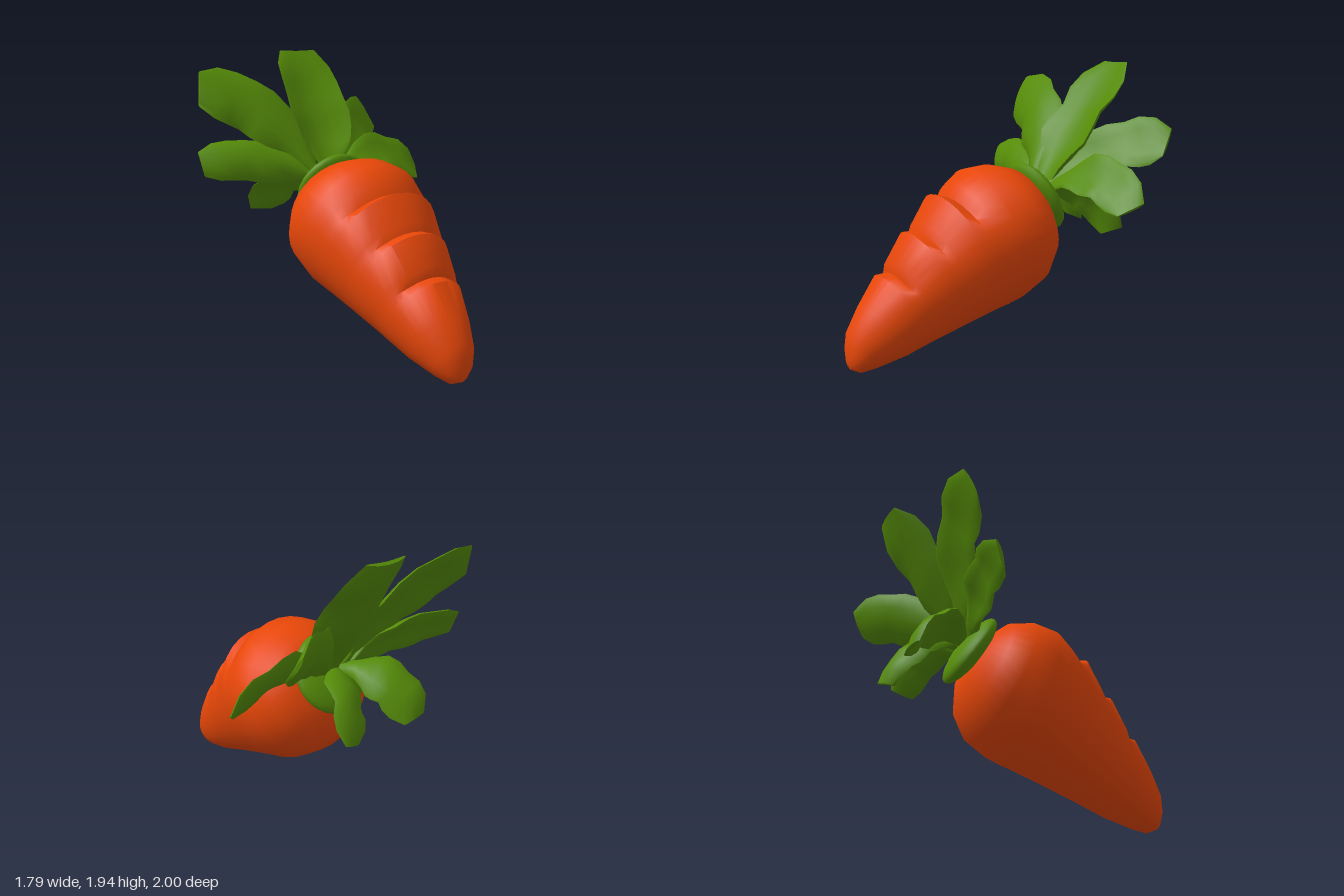
import * as THREE from 'three';
import { toCreasedNormals } from 'three/addons/utils/BufferGeometryUtils.js';

const V = (x, y, z) => new THREE.Vector3(x, y, z);

// Skin a list of closed rings (counterclockwise about the travel direction) and cap both ends.
function loft(rings, crease) {
  const n = rings[0].length, pos = [], idx = [];
  rings.forEach(r => r.forEach(p => pos.push(p.x, p.y, p.z)));
  for (let j = 0; j < rings.length - 1; j++) {
    for (let i = 0; i < n; i++) {
      const a = j * n + i, b = j * n + (i + 1) % n;
      idx.push(a, b, b + n, a, b + n, a + n);
    }
  }
  [0, rings.length - 1].forEach((j, end) => {
    const c = V(0, 0, 0);
    rings[j].forEach(p => c.addScaledVector(p, 1 / n));
    const k = pos.length / 3;
    pos.push(c.x, c.y, c.z);
    for (let i = 0; i < n; i++) {
      const a = j * n + i, b = j * n + (i + 1) % n;
      end ? idx.push(k, a, b) : idx.push(k, b, a);
    }
  });
  const g = new THREE.BufferGeometry();
  g.setAttribute('position', new THREE.Float32BufferAttribute(pos, 3));
  g.setIndex(idx);
  return toCreasedNormals(g, crease);
}

// Root stations from tip to crown: top z, top y, bottom z, bottom y, half width, notch depth
const STATIONS = [
  [1.0, .10, .98, .03, .04, 0],
  [1.0, .18, .92, .003, .10, 0],
  [.985, .27, .82, .02, .15, 0],
  [.9, .42, .62, .075, .22, 0],
  [.77, .61, .44, .145, .28, 0],
  [.725, .67, .41, .155, .29, .06],
  [.70, .705, .38, .165, .30, .02],
  [.57, .87, .20, .23, .355, 0],
  [.525, .915, .17, .24, .365, .05],
  [.49, .95, .14, .25, .375, .02],
  [.37, 1.10, -.02, .305, .425, 0],
  [.315, 1.15, -.05, .315, .435, .08],
  [.25, 1.19, -.09, .325, .445, .03],
  [.13, 1.25, -.18, .36, .475, 0],
  [-.04, 1.27, -.33, .46, .475, 0],
  [-.19, 1.24, -.42, .6, .385, 0],
  [-.27, 1.17, -.45, .8, .25, 0],
];

function rootGeometry() {
  const n = 32;
  const rings = STATIONS.map(([tz, ty, bz, by, w, dip]) => {
    const top = V(0, ty, tz), bottom = V(0, by, bz);
    const mid = top.clone().lerp(bottom, .5), down = bottom.clone().sub(mid);
    const unit = down.clone().normalize();
    return Array.from({ length: n }, (_, i) => {
      const a = i / n * Math.PI * 2;
      const notch = dip * THREE.MathUtils.smoothstep(-Math.sin(a), .35, .85);
      return mid.clone().add(V(w * Math.cos(a), 0, 0))
        .addScaledVector(down, Math.sin(a)).addScaledVector(unit, notch);
    });
  });
  return loft(rings, .85);
}

// Leaf: blunt, cupped blade swept along a bent spine, flattening towards the tip
function leafGeometry({ mid, tip, across, half, curl = .05 }) {
  const spine = new THREE.QuadraticBezierCurve3(V(tip[0] * .08, 1.06, -.42), V(...mid), V(...tip));
  const widths = [.16, .28, .52, .78, .96, 1, .92, .97, .9, .56];
  const n = 12;
  const rings = widths.map((k, j) => {
    const t = j / (widths.length - 1);
    const c = spine.getPoint(t), T = spine.getTangent(t);
    const W = V(...across).addScaledVector(T, -V(...across).dot(T)).normalize();
    const N = T.clone().cross(W);
    const thick = j === widths.length - 1 ? .012 : .03;
    const cup = curl * k * (1 - .7 * t ** 3);
    return Array.from({ length: n }, (_, i) => {
      const a = i / n * Math.PI * 2, u = Math.cos(a);
      const lift = cup * (u * u - .4) + .014 * Math.sin(j * 1.9) * u;
      return c.clone().addScaledVector(W, half * k * u)
        .addScaledVector(N, thick * Math.sin(a) + lift);
    });
  });
  return loft(rings, 1.1);
}

const LEAVES = {
  tallLeaf: { mid: [.07, 1.42, -.6], tip: [.1, 1.935, -.985], across: [1, -.1, 0], half: .25, curl: -.12 },
  upperRightLeaf: { mid: [-.24, 1.63, -.68], tip: [-.8, 1.72, -.77], across: [-.15, .85, -.45], half: .215 },
  lowerRightLeaf: { mid: [-.42, 1.32, -.54], tip: [-.88, 1.24, -.61], across: [0, .85, -.45], half: .15 },
  upperLeftLeaf: { mid: [.34, 1.46, -.74], tip: [.71, 1.43, -.94], across: [-.1, .88, -.42], half: .18 },
  lowerLeftLeaf: { mid: [.5, 1.37, -.57], tip: [.86, 1.04, -.54], across: [.2, .75, -.62], half: .16 },
  backLeftLeaf: { mid: [.12, 1.18, -.75], tip: [.22, .79, -.88], across: [1, .5, -.2], half: .16 },
  backRightLeaf: { mid: [-.2, 1.2, -.73], tip: [-.27, .83, -.9], across: [1, -.45, -.1], half: .17 },
};

export function createModel() {
  const orange = new THREE.MeshStandardMaterial({ color: 0xe84708 });
  orange.name = 'carrot orange';
  const green = new THREE.MeshStandardMaterial({ color: 0x558b08 });
  green.name = 'leaf green';

  const model = new THREE.Group();
  model.name = 'carrot';
  const add = (name, geometry, material) => {
    const mesh = new THREE.Mesh(geometry, material);
    mesh.name = name;
    model.add(mesh);
    return mesh;
  };

  add('root', rootGeometry(), orange);

  // Tilted leafy collar on the crown
  const collar = add('collar', new THREE.SphereGeometry(1, 24, 12), green);
  collar.scale.set(.26, .08, .265);
  collar.rotation.x = -Math.PI / 3;
  collar.position.set(0, 1.04, -.4);

  for (const [name, spec] of Object.entries(LEAVES)) add(name, leafGeometry(spec), green);
  return model;
}
